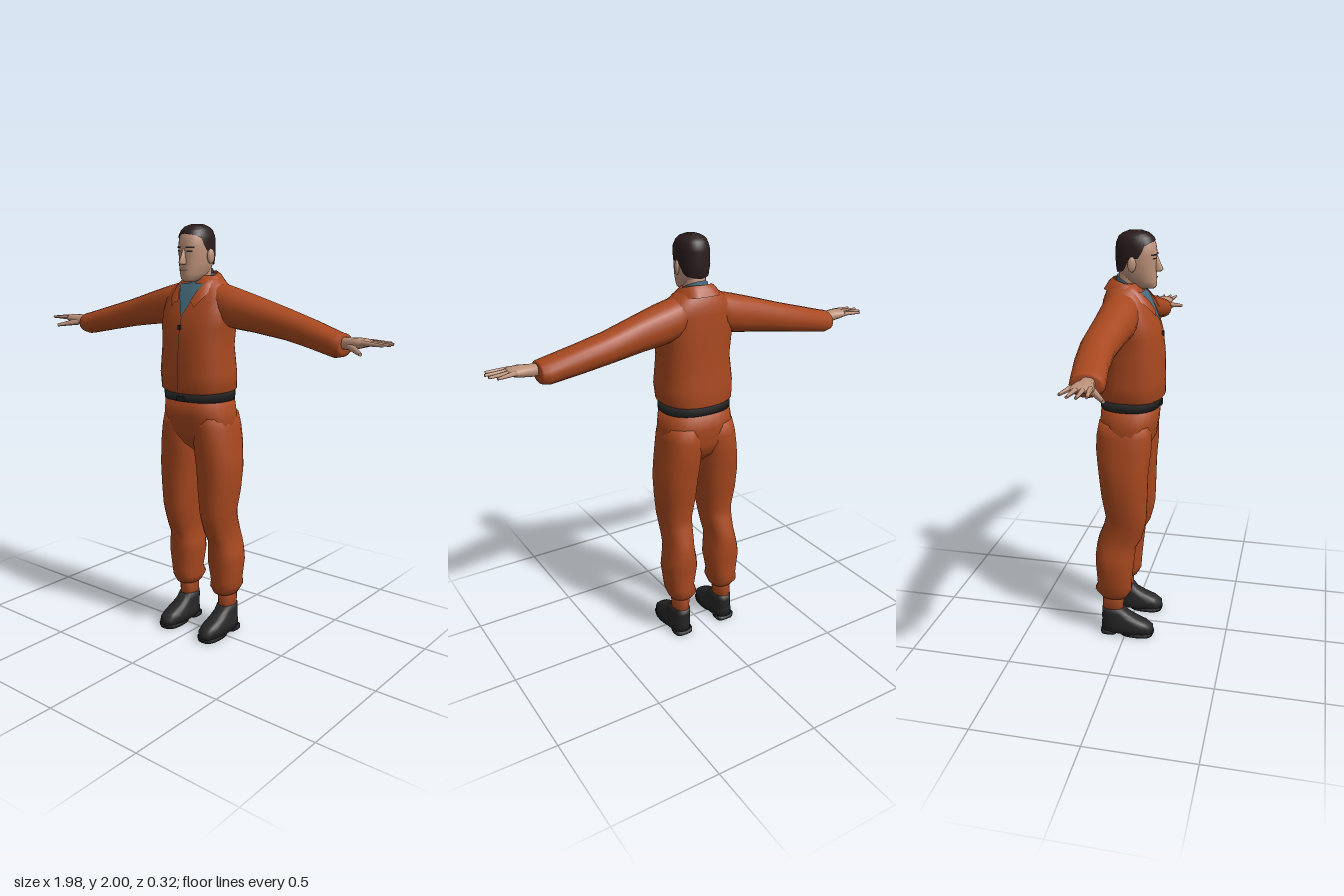
import * as THREE from 'three';

const mat = (name, color, side = THREE.FrontSide) => {
  const m = new THREE.MeshStandardMaterial({ color, side });
  m.name = name;
  return m;
};

// Smooth indexed geometry from points and triangle corners
function build(pos, idx) {
  const g = new THREE.BufferGeometry();
  g.setAttribute('position', new THREE.Float32BufferAttribute(pos, 3));
  g.setIndex(idx);
  g.computeVertexNormals();
  return g;
}

// Point on a superelliptic section; row = [y, x0, x1, zFront, zBack]
function sectionPoint([y, x0, x1, zf, zb], a, p, grow = 0) {
  const s = Math.sin(a), c = Math.cos(a);
  const bend = (v) => Math.sign(v) * Math.abs(v) ** (2 / p);
  return [
    (x0 + x1) / 2 + ((x1 - x0) / 2 + grow) * bend(s), y,
    (zf + zb) / 2 + ((zf - zb) / 2 + grow) * bend(c),
  ];
}

// Closed body lofted through sections
function loft(rows, n = 20, p = 2.2) {
  const sorted = [...rows].sort((a, b) => a[0] - b[0]);
  const pos = [], idx = [], last = sorted.length - 1;
  sorted.forEach((r) => {
    for (let j = 0; j < n; j++) pos.push(...sectionPoint(r, (j / n) * Math.PI * 2, p));
  });
  for (const r of [sorted[0], sorted[last]]) pos.push((r[1] + r[2]) / 2, r[0], (r[3] + r[4]) / 2);
  const base = (last + 1) * n;
  for (let j = 0; j < n; j++) {
    const k = (j + 1) % n;
    for (let i = 0; i < last; i++) {
      const a = i * n + j, b = i * n + k;
      idx.push(a, b, b + n, a, b + n, a + n);
    }
    idx.push(base, k, j, base + 1, last * n + j, last * n + k);
  }
  return build(pos, idx);
}

// Flip a geometry by a mirroring matrix and keep its faces outward
function flipped(geo, matrix) {
  const g = geo.clone().applyMatrix4(matrix);
  const ix = g.index.array;
  for (let i = 0; i < ix.length; i += 3) [ix[i], ix[i + 1]] = [ix[i + 1], ix[i]];
  g.computeVertexNormals();
  return g;
}
const MIRROR = new THREE.Matrix4().makeScale(-1, 1, 1);
const SWAP_XY = new THREE.Matrix4().set(0, 1, 0, 0, 1, 0, 0, 0, 0, 0, 1, 0, 0, 0, 0, 1);
const sideLoft = (rows, n, p) => flipped(loft(rows, n, p), SWAP_XY);

// Section interpolated at height y (rows ascending)
function rowAt(rows, y) {
  let i = 0;
  while (i < rows.length - 2 && rows[i + 1][0] < y) i++;
  const t = THREE.MathUtils.clamp((y - rows[i][0]) / (rows[i + 1][0] - rows[i][0]), 0, 1);
  return rows[i].map((v, k) => (k ? v + (rows[i + 1][k] - v) * t : y));
}

// Grid surface; f(u, v) gives a point, u to the right and v upward
function grid(nu, nv, f) {
  const pos = [], idx = [], w = nu + 1;
  for (let i = 0; i <= nv; i++) for (let j = 0; j <= nu; j++) pos.push(...f(j / nu, i / nv));
  for (let i = 0; i < nv; i++) for (let j = 0; j < nu; j++) {
    const a = i * w + j;
    idx.push(a, a + 1, a + w + 1, a, a + w + 1, a + w);
  }
  return build(pos, idx);
}

// Thin detail lying on the front of a lofted body
function patch(rows, p, y0, y1, left, right, lift = 0.004) {
  return grid(6, 8, (u, v) => {
    const y = y0 + (y1 - y0) * v, x = left(v) + (right(v) - left(v)) * u;
    const [, x0, x1, zf, zb] = rowAt(rows, y);
    const q = Math.min(1, Math.abs(x - (x0 + x1) / 2) / ((x1 - x0) / 2));
    return [x, y, (zf + zb) / 2 + ((zf - zb) / 2) * (1 - q ** p) ** (1 / p) + lift];
  });
}

// Tapered finger between two points
function finger(a, b, r0, r1) {
  const A = new THREE.Vector3(...a), d = new THREE.Vector3(...b).sub(A);
  const g = new THREE.CylinderGeometry(r1, r0, d.length(), 7);
  g.applyQuaternion(new THREE.Quaternion().setFromUnitVectors(new THREE.Vector3(0, 1, 0), d.clone().normalize()));
  return g.translate(...A.addScaledVector(d, 0.5).toArray());
}

const TORSO = [
  [1.228, -0.16, 0.16, 0.14, -0.135], [1.245, -0.178, 0.178, 0.16, -0.15], [1.32, -0.187, 0.187, 0.16, -0.14],
  [1.45, -0.172, 0.172, 0.157, -0.132], [1.54, -0.183, 0.183, 0.146, -0.13], [1.6, -0.188, 0.188, 0.128, -0.127],
  [1.66, -0.185, 0.185, 0.1, -0.125], [1.7, -0.165, 0.165, 0.08, -0.12], [1.74, -0.115, 0.115, 0.055, -0.107],
  [1.77, -0.075, 0.075, 0.04, -0.085]];
const HEAD = [
  [1.745, -0.024, 0.024, 0.108, 0.03], [1.756, -0.04, 0.04, 0.117, 0], [1.78, -0.054, 0.054, 0.118, -0.035],
  [1.82, -0.065, 0.065, 0.118, -0.06], [1.86, -0.07, 0.07, 0.116, -0.064], [1.9, -0.071, 0.071, 0.119, -0.064],
  [1.94, -0.069, 0.069, 0.113, -0.063], [1.97, -0.058, 0.058, 0.096, -0.05], [1.985, -0.043, 0.043, 0.075, -0.032],
  [1.994, -0.02, 0.02, 0.045, -0.005]];

export function createModel() {
  const model = new THREE.Group();
  model.name = 'figure';
  const cloth = mat('orange cloth', 0xa8481f), flap = mat('orange collar cloth', 0xa8481f, THREE.DoubleSide);
  const skin = mat('skin', 0xbd927a), hairMat = mat('dark hair', 0x2b1c1d, THREE.DoubleSide);
  const shirt = mat('blue shirt', 0x466a7c, THREE.DoubleSide), black = mat('black leather', 0x262626);
  const soleMat = mat('sole rubber', 0x1a1a1a), lip = mat('lips', 0x95695a);

  const add = (name, geo, material) => {
    const m = new THREE.Mesh(geo, material);
    m.name = name;
    model.add(m);
  };
  const pair = (name, geo, material) => {
    add('left ' + name, geo, material);
    add('right ' + name, flipped(geo, MIRROR), material);
  };

  // Jacket, belt and hips
  add('jacket', loft(TORSO, 28, 2.4), cloth);
  add('belt', loft([[1.195, -0.172, 0.172, 0.143, -0.14], [1.242, -0.172, 0.172, 0.145, -0.142]], 28, 2.4), black);
  add('buckle', new THREE.BoxGeometry(0.04, 0.026, 0.012).translate(0, 1.208, 0.144), black);
  add('hips', loft([[0.935, -0.07, 0.07, 0.03, -0.06], [0.98, -0.14, 0.14, 0.085, -0.115],
    [1.04, -0.19, 0.19, 0.12, -0.137], [1.12, -0.183, 0.183, 0.132, -0.142], [1.21, -0.168, 0.168, 0.139, -0.136]], 28, 2.4), cloth);

  // Trouser legs and ankle cuffs
  pair('trouser leg', loft([
    [1.13, 0.01, 0.175, 0.11, -0.135], [1.07, -0.004, 0.19, 0.118, -0.146], [1, 0.001, 0.2, 0.118, -0.148],
    [0.93, 0.003, 0.21, 0.111, -0.14], [0.86, 0.01, 0.217, 0.105, -0.131], [0.757, 0.02, 0.21, 0.103, -0.12],
    [0.65, 0.035, 0.197, 0.1, -0.1], [0.6, 0.042, 0.19, 0.092, -0.112], [0.535, 0.05, 0.185, 0.075, -0.137],
    [0.49, 0.053, 0.19, 0.05, -0.147], [0.44, 0.045, 0.2, 0.044, -0.153], [0.386, 0.037, 0.21, 0.038, -0.15],
    [0.28, 0.057, 0.196, 0.028, -0.143], [0.247, 0.05, 0.192, 0.028, -0.157], [0.21, 0.065, 0.176, 0.008, -0.126]], 18, 2.3), cloth);
  pair('ankle cuff', loft([[0.13, 0.085, 0.163, -0.015, -0.12], [0.23, 0.08, 0.168, -0.01, -0.122]], 16), cloth);

  // Boots
  pair('boot', loft([
    [0.018, 0.07, 0.181, 0.143, -0.127], [0.05, 0.071, 0.18, 0.14, -0.127], [0.07, 0.074, 0.177, 0.115, -0.125],
    [0.092, 0.078, 0.172, 0.06, -0.125], [0.115, 0.08, 0.168, 0.015, -0.124], [0.143, 0.082, 0.166, -0.01, -0.122]], 20, 2.6), black);
  pair('boot sole', loft([[0, 0.074, 0.177, 0.138, -0.03], [0.02, 0.07, 0.181, 0.144, -0.04]], 20, 2.6), soleMat);
  pair('boot heel', loft([[0, 0.078, 0.174, -0.045, -0.127], [0.02, 0.076, 0.176, -0.04, -0.128]], 16, 3.5), soleMat);

  // Sleeves: rows are [x, yLow, yHigh, zFront, zBack]
  pair('sleeve', sideLoft([
    [0.06, 1.58, 1.742, 0.05, -0.108], [0.13, 1.55, 1.733, 0.066, -0.115], [0.2, 1.533, 1.715, 0.066, -0.115],
    [0.3, 1.523, 1.687, 0.05, -0.113], [0.465, 1.5, 1.638, 0.034, -0.117], [0.6, 1.475, 1.6, 0.042, -0.105],
    [0.735, 1.449, 1.56, 0.062, -0.085], [0.768, 1.456, 1.552, 0.058, -0.078], [0.775, 1.475, 1.545, 0.045, -0.065]], 18), cloth);

  // Hands
  pair('palm', sideLoft([
    [0.75, 1.49, 1.54, 0.024, -0.03], [0.8, 1.489, 1.541, 0.033, -0.032], [0.845, 1.497, 1.543, 0.046, -0.042],
    [0.88, 1.506, 1.54, 0.046, -0.046], [0.9, 1.514, 1.535, 0.04, -0.042]], 14, 2.5), skin);
  [[-0.036, -0.058, 0.96], [-0.012, -0.024, 0.985], [0.013, 0.013, 0.99], [0.036, 0.049, 0.975]].forEach(([z0, z1, x], i) =>
    pair('finger ' + (i + 1), finger([0.875, 1.526, z0], [x, 1.524, z1], 0.012, 0.006), skin));
  pair('thumb', finger([0.815, 1.507, 0.022], [0.9, 1.488, 0.092], 0.018, 0.008), skin);

  // Shirt opening, zip and its pull
  add('shirt front', patch(TORSO, 2.4, 1.585, 1.735, (v) => -0.07 * v, (v) => 0.07 * v, 0.006), shirt);
  add('zip', patch(TORSO, 2.4, 1.25, 1.585, () => -0.0015, () => 0.0015, 0.003), black);
  add('zip pull', new THREE.BoxGeometry(0.012, 0.022, 0.009).translate(0, 1.54, 0.15), black);

  // Turned-down jacket collar swept round the neck
  const edge = (half) => new THREE.CatmullRomCurve3(
    [...half.slice(1).reverse().map(([x, y, z]) => [-x, y, z]), ...half].map((q) => new THREE.Vector3(...q)));
  const inner = edge([[0, 1.79, -0.085], [0.05, 1.788, -0.068], [0.077, 1.772, -0.015], [0.074, 1.745, 0.04], [0.053, 1.705, 0.086], [0.034, 1.655, 0.118]]);
  const outer = edge([[0, 1.742, -0.117], [0.062, 1.742, -0.111], [0.106, 1.735, -0.045], [0.106, 1.708, 0.05], [0.09, 1.665, 0.102], [0.066, 1.63, 0.128]]);
  add('jacket collar', grid(30, 2, (u, v) => {
    const q = outer.getPoint(u).lerp(inner.getPoint(u), v);
    return [q.x, q.y + 0.008 * Math.sin(v * Math.PI), q.z];
  }), flap);

  // Shirt collar, dipping toward the front
  add('shirt collar', grid(24, 1, (u, v) => {
    const a = u * Math.PI * 2, r = 0.07 - 0.01 * v;
    return [r * Math.sin(a), 1.71 + 0.062 * v - 0.032 * Math.cos(a), r * 1.03 * Math.cos(a) - 0.002];
  }), shirt);

  // Neck, head, nose and ears
  add('neck', loft([[1.68, -0.052, 0.052, 0.055, -0.055], [1.76, -0.05, 0.05, 0.055, -0.055], [1.86, -0.05, 0.05, 0.05, -0.056]]), skin);
  add('head', loft(HEAD, 24, 2.2), skin);
  add('nose', loft([[1.822, -0.012, 0.012, 0.138, 0.1], [1.83, -0.015, 0.015, 0.148, 0.1],
    [1.858, -0.009, 0.009, 0.135, 0.1], [1.89, -0.006, 0.006, 0.121, 0.1]], 10), skin);
  pair('ear', new THREE.SphereGeometry(1, 10, 8).scale(0.01, 0.034, 0.02).rotateY(-0.35).translate(0.078, 1.858, 0.018), skin);

  // Face details
  pair('eyebrow', patch(HEAD, 2.2, 1.894, 1.901, () => 0.014, () => 0.05), hairMat);
  pair('eye', patch(HEAD, 2.2, 1.878, 1.884, () => 0.019, () => 0.042, 0.003), hairMat);
  add('mouth', patch(HEAD, 2.2, 1.793, 1.8, () => -0.022, () => 0.022, 0.003), lip);

  // Cropped hair: high over the forehead, sideburns, low at the nape
  const hairline = (a) => {
    const d = Math.abs(Math.atan2(Math.sin(a), Math.cos(a)));
    const stops = [[0, 1.957], [0.75, 1.95], [1.15, 1.935], [1.35, 1.885], [1.75, 1.88], [2.1, 1.825], [Math.PI, 1.812]];
    const i = Math.max(1, stops.findIndex((s) => s[0] >= d - 1e-6));
    const [p, q] = [stops[i - 1], stops[i]];
    return THREE.MathUtils.lerp(p[1], q[1], (d - p[0]) / (q[0] - p[0]));
  };
  add('hair', grid(40, 14, (u, v) => {
    const a = u * Math.PI * 2, y0 = hairline(a), y = y0 + (1.994 - y0) * v;
    const q = sectionPoint(rowAt(HEAD, y), a, 2.2, 0.006);
    q[1] += 0.005 * v;
    return q;
  }), hairMat);
  add('hair crown', loft([[1.98, -0.026, 0.026, 0.051, -0.011], [1.999, -0.026, 0.026, 0.051, -0.011], [2, -0.015, 0.015, 0.04, 0]], 20), hairMat);
  return model;
}
